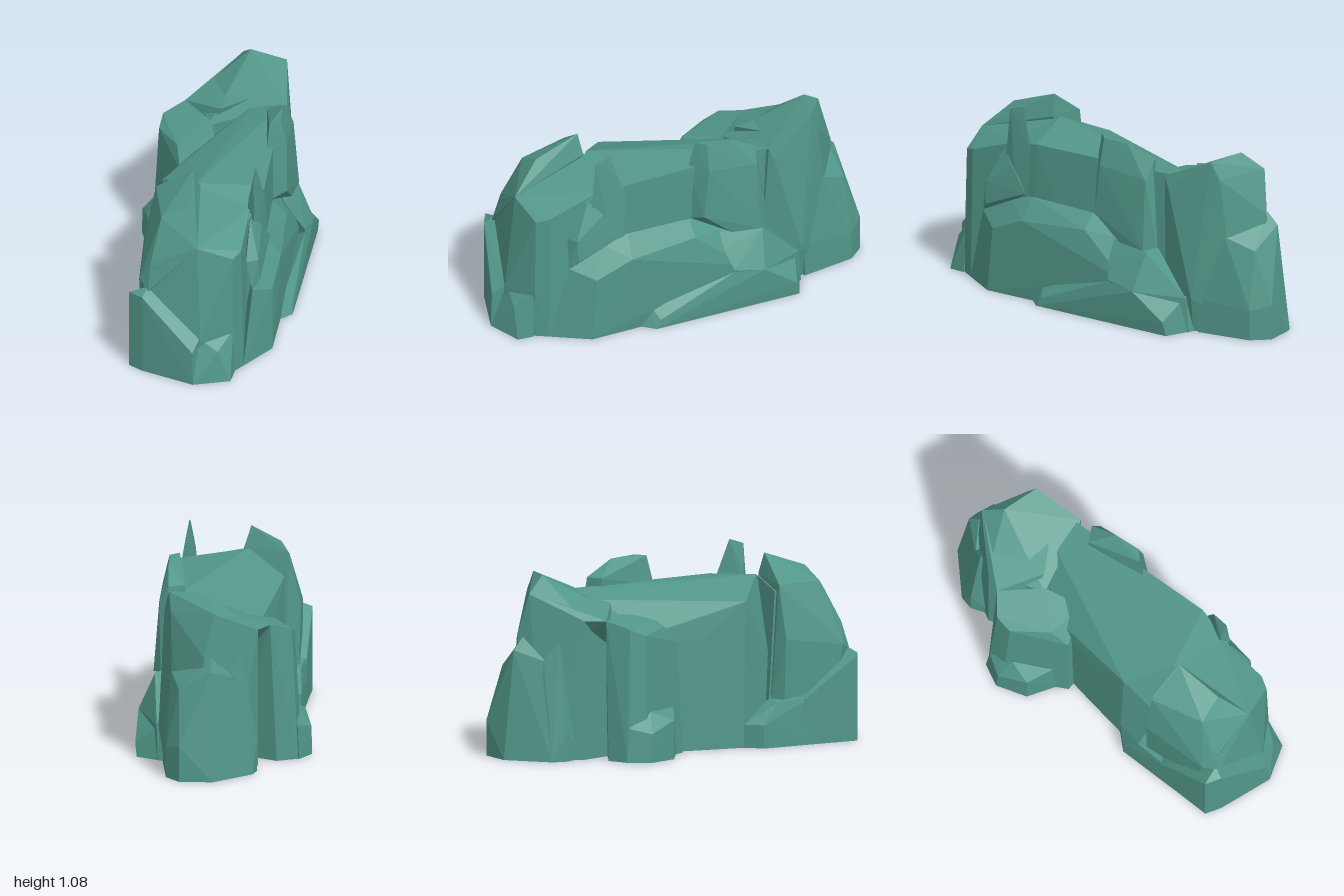
import * as THREE from 'three';
import { ConvexGeometry } from 'three/addons/geometries/ConvexGeometry.js';

const stone = new THREE.MeshStandardMaterial({ color: 0x529789, side: THREE.DoubleSide });
stone.name = 'green stone';

// One chunk of rock: the hull of ground points [x, z] and raised points [x, y, z],
// as triangles with their outward planes.
function hull(name, ground, raised) {
  const points = [
    ...ground.map(([x, z]) => new THREE.Vector3(x, 0, z)),
    ...raised.map((p) => new THREE.Vector3(...p)),
  ];
  const pos = new ConvexGeometry(points).getAttribute('position');
  const faces = [];
  for (let i = 0; i < pos.count; i += 3) {
    const corners = [0, 1, 2].map((k) => new THREE.Vector3().fromBufferAttribute(pos, i + k));
    const plane = new THREE.Plane().setFromCoplanarPoints(...corners);
    if (plane.normal.length() > 0.5) faces.push({ corners, plane });
  }
  return { name, faces };
}

// Part of a polygon on one side of a plane (side 1 is in front, -1 behind).
function clip(poly, plane, side) {
  const dist = poly.map((p) => side * plane.distanceToPoint(p));
  if (Math.max(...dist) < 1e-4) return [];
  const kept = [];
  poly.forEach((p, i) => {
    const j = (i + 1) % poly.length;
    if (dist[i] >= 0) kept.push(p);
    if (dist[i] * dist[j] < 0) kept.push(p.clone().lerp(poly[j], dist[i] / (dist[i] - dist[j])));
  });
  return kept;
}

// Pieces of a polygon that lie outside a hull.
function outside(poly, solid) {
  const pieces = [];
  let rest = poly;
  for (const { plane } of solid.faces) {
    const front = clip(rest, plane, 1);
    if (front.length > 2) pieces.push(front);
    rest = clip(rest, plane, -1);
    if (rest.length < 3) return [poly];
  }
  return pieces;
}

// Visible skin of one chunk: buried surfaces and the underside are left open.
function skin(solid, solids) {
  const coords = [];
  for (const { corners } of solid.faces) {
    if (corners.every((p) => p.y < 1e-4)) continue;
    let pieces = [corners];
    for (const other of solids) {
      if (other !== solid) pieces = pieces.flatMap((p) => outside(p, other));
    }
    for (const p of pieces) {
      for (let i = 2; i < p.length; i++) {
        for (const v of [p[0], p[i - 1], p[i]]) coords.push(v.x, v.y, v.z);
      }
    }
  }
  const geometry = new THREE.BufferGeometry();
  geometry.setAttribute('position', new THREE.Float32BufferAttribute(coords, 3));
  geometry.computeVertexNormals();
  const mesh = new THREE.Mesh(geometry, stone);
  mesh.name = solid.name;
  return mesh;
}

export function createModel() {
  const solids = [];
  const chunk = (name, ground, raised) => solids.push(hull(name, ground, raised));

  // long central ridge, with a high front wall and a sloping back
  chunk('mainRidge',
    [[-0.35, 0.1], [-0.19, -0.12], [0.02, -0.4], [0.5, -0.4], [0.3, 0.12], [0.1, 0.5], [-0.1, 0.8], [-0.42, 0.6]],
    [[-0.24, 0.93, 0.38], [0.08, 0.89, -0.02], [0.37, 0.84, -0.43], [0.13, 0.89, 0.47], [0.27, 0.87, 0.12],
      [0.5, 0.88, -0.32], [-0.35, 0.82, 0.12], [-0.19, 0.61, -0.11], [0.03, 0.65, -0.38], [-0.14, 0.76, 0.8]]);

  // front end: sloping cheek above a split foot
  chunk('frontFace',
    [[-0.43, 0.9], [-0.6, 0.6], [-0.4, 0.25], [-0.13, 0.87], [-0.2, 0.91]],
    [[-0.2, 0.27, 0.91], [-0.2, 0.73, 0.9], [-0.14, 0.75, 0.86], [-0.39, 0.8, 0.84], [-0.4, 0.25, 0.92],
      [-0.6, 0.65, 0.7], [-0.64, 0.52, 0.7], [-0.24, 0.92, 0.4], [-0.42, 0.86, 0.3], [0.0, 0.85, 0.6]]);
  chunk('frontCrag', [],
    [[-0.27, 1.05, 0.42], [-0.38, 0.96, 0.66], [-0.52, 0.89, 0.6], [-0.39, 0.8, 0.84], [-0.45, 0.9, 0.3],
      [-0.23, 0.93, 0.42], [-0.61, 0.66, 0.68], [-0.66, 0.54, 0.63], [-0.64, 0.5, 0.72], [-0.51, 0.6, 0.28],
      [-0.5, 0.26, 0.28], [-0.42, 0.26, 0.27], [-0.64, 0.32, 0.58]]);
  chunk('frontFoot',
    [[-0.46, 0.97], [-0.68, 0.74], [-0.73, 0.66], [-0.55, 0.32], [-0.4, 0.5]],
    [[-0.46, 0.2, 0.96], [-0.73, 0.48, 0.66], [-0.68, 0.48, 0.74], [-0.63, 0.52, 0.7], [-0.4, 0.26, 0.91],
      [-0.58, 0.26, 0.37], [-0.45, 0.26, 0.4]]);
  chunk('frontToe',
    [[-0.25, 1.0], [-0.46, 0.97], [-0.2, 0.92], [-0.4, 0.8]],
    [[-0.31, 0.18, 0.96], [-0.2, 0.27, 0.9], [-0.4, 0.25, 0.9]]);
  chunk('sideLedge',
    [[-0.35, 0.1], [-0.46, 0.14], [-0.62, 0.45], [-0.4, 0.5], [-0.3, 0.2]],
    [[-0.35, 0.13, 0.1], [-0.46, 0.13, 0.14], [-0.49, 0.25, 0.23], [-0.6, 0.27, 0.42], [-0.4, 0.26, 0.27]]);

  // big slab leaning on the long front side, with a bevelled top and ledges
  chunk('frontSlab',
    [[0.08, 0.75], [-0.02, 0.8], [-0.13, 0.87], [-0.1, 0.5], [0.4, -0.2], [0.6, -0.3], [0.45, 0.02]],
    [[0.09, 0.37, 0.72], [0.2, 0.46, 0.54], [0.36, 0.48, 0.17], [0.45, 0.33, 0.02], [0.53, 0.24, -0.08],
      [-0.05, 0.43, 0.79], [0.04, 0.55, 0.62], [0.13, 0.58, 0.49], [0.29, 0.56, 0.13], [0.4, 0.45, -0.05]]);
  chunk('lowLedge',
    [[0.21, 0.48], [0.3, 0.45], [0.71, -0.33], [0.6, -0.48], [0.4, 0.0]],
    [[0.25, 0.1, 0.42], [0.31, 0.05, 0.42], [0.5, 0.14, 0.07], [0.45, 0.17, 0.07], [0.52, 0.24, 0.02],
      [0.62, 0.22, -0.13], [0.71, 0.08, -0.31], [0.6, 0.2, -0.43]]);
  chunk('upperLedge',
    [[0.55, -0.1], [0.63, -0.45], [0.4, -0.2]],
    [[0.4, 0.45, 0.0], [0.45, 0.36, 0.02], [0.52, 0.25, 0.02], [0.55, 0.43, -0.2], [0.55, 0.37, -0.27],
      [0.62, 0.22, -0.13], [0.63, 0.2, -0.43], [0.4, 0.5, -0.2]]);

  // needle and pillar standing on the slab
  chunk('needle', [],
    [[0.01, 1.05, 0.63], [0.05, 1.08, 0.55], [0.08, 0.98, 0.53], [0.12, 0.84, 0.5], [0.13, 0.58, 0.52],
      [-0.01, 0.9, 0.6], [-0.02, 0.75, 0.6], [0.07, 0.7, 0.6], [0.0, 0.5, 0.68]]);
  chunk('needleFoot', [],
    [[-0.08, 0.61, 0.77], [-0.01, 0.61, 0.77], [0.0, 0.48, 0.77], [-0.05, 0.43, 0.79], [-0.02, 0.82, 0.66],
      [0.06, 0.74, 0.62], [0.14, 0.6, 0.53], [-0.04, 0.7, 0.6], [0.02, 0.5, 0.6]]);
  chunk('pillar', [],
    [[0.29, 1.03, 0.08], [0.36, 1.03, 0.06], [0.42, 1.02, -0.08], [0.48, 0.93, -0.23], [0.38, 0.93, -0.23],
      [0.26, 0.86, 0.11], [0.29, 0.56, 0.12], [0.38, 0.59, 0.11], [0.39, 0.88, 0.08], [0.52, 0.84, -0.19],
      [0.55, 0.44, -0.18], [0.46, 0.45, -0.04], [0.4, 0.45, -0.2], [0.54, 0.46, -0.26]]);

  // tall rear block with its wider skirt
  chunk('rearTower',
    [[0.6, -0.47], [0.62, -0.8], [0.35, -0.88], [0.15, -0.75], [0.1, -0.45], [0.45, -0.3]],
    [[0.61, 1.0, -0.57], [0.45, 1.01, -0.72], [0.45, 0.92, -0.85], [0.62, 0.9, -0.62], [0.41, 0.88, -0.45],
      [0.52, 0.88, -0.3], [0.54, 0.82, -0.32], [0.63, 0.57, -0.66], [0.52, 0.68, -0.87], [0.15, 0.78, -0.75],
      [0.63, 0.2, -0.46], [0.1, 0.76, -0.42]]);
  chunk('rearSkirt',
    [[0.25, -0.92], [0.52, -1.0], [0.69, -0.92], [0.72, -0.8], [0.62, -0.5], [0.3, -0.6]],
    [[0.5, 0.61, -0.93], [0.48, 0.68, -0.87], [0.63, 0.57, -0.65], [0.65, 0.5, -0.82], [0.72, 0.17, -0.8],
      [0.69, 0.2, -0.92], [0.33, 0.55, -0.86], [0.62, 0.2, -0.5]]);
  chunk('rearRib',
    [[0.2, -0.86], [0.25, -0.92], [0.36, -0.93], [0.35, -0.75], [0.18, -0.7]],
    [[0.27, 0.66, -0.82], [0.2, 0.17, -0.86], [0.34, 0.56, -0.87], [0.36, 0.6, -0.75]]);

  // buttress against the back, with a low stump
  chunk('backButtress',
    [[-0.17, -0.6], [-0.11, -0.7], [0.02, -0.7], [0.2, -0.45], [0.1, -0.1], [-0.16, -0.23], [-0.16, -0.34]],
    [[-0.14, 0.7, -0.57], [-0.09, 0.74, -0.65], [0.05, 0.78, -0.68], [0.12, 0.78, -0.42], [0.07, 0.74, -0.2],
      [-0.13, 0.62, -0.24], [-0.11, 0.72, -0.34]]);
  chunk('buttressCap', [],
    [[0.05, 0.78, -0.68], [0.18, 0.84, -0.44], [0.15, 0.78, -0.75], [0.41, 0.88, -0.45], [0.44, 0.92, -0.84],
      [0.1, 0.6, -0.5], [0.3, 0.6, -0.7]]);
  chunk('backStump',
    [[-0.25, -0.45], [-0.22, -0.63], [-0.11, -0.71], [-0.1, -0.3], [-0.16, -0.3]],
    [[-0.25, 0.22, -0.45], [-0.22, 0.16, -0.62], [-0.16, 0.27, -0.55], [-0.16, 0.27, -0.32], [-0.11, 0.19, -0.69]]);

  const group = new THREE.Group();
  group.name = 'rockFormation';
  solids.forEach((solid) => group.add(skin(solid, solids)));
  return group;
}
